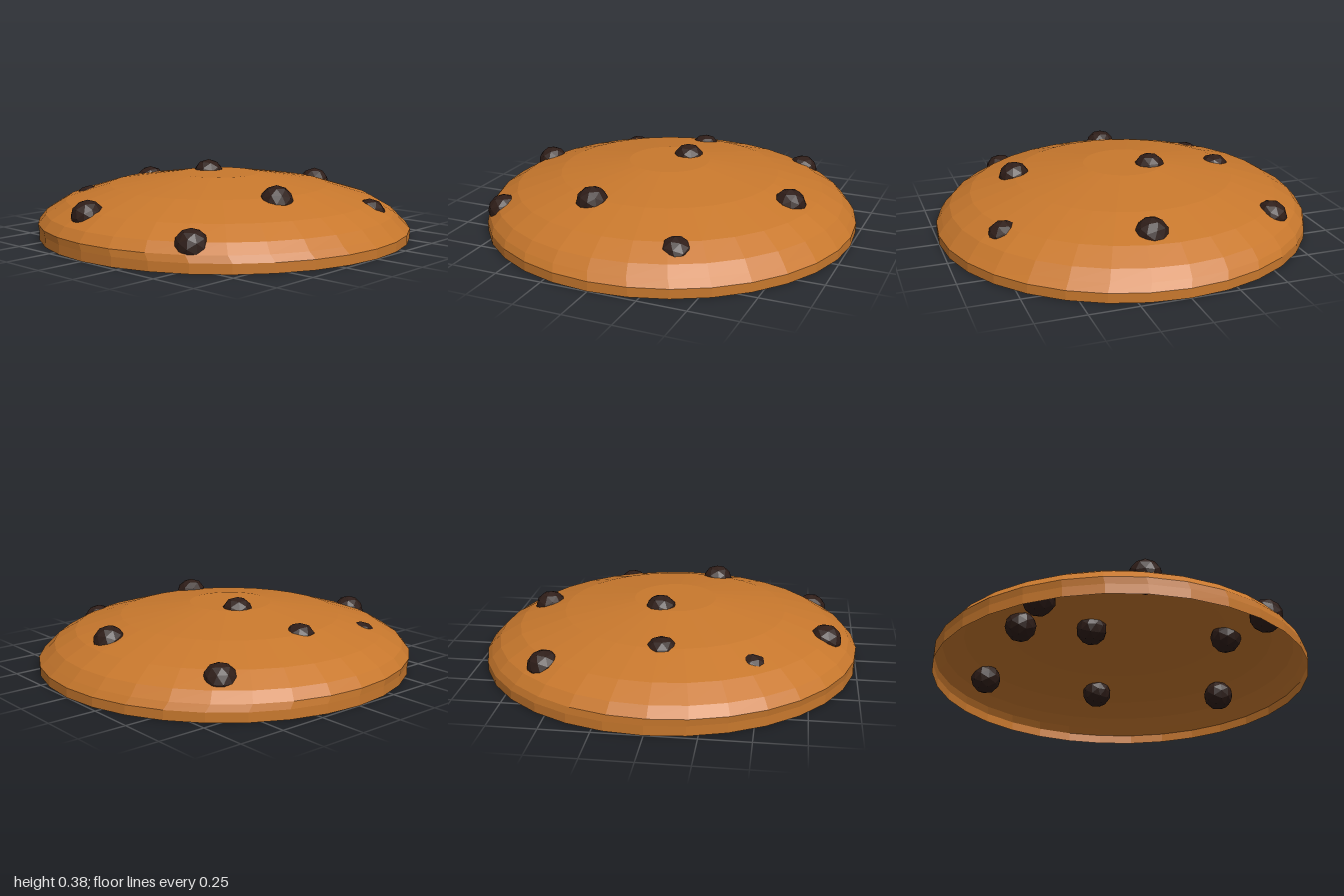
import * as THREE from 'three';

const SEGMENTS = 32;

// Open shell from stacked rings [radius, height, sideways shift], closed by a flat top
function shellGeometry(rings) {
  const positions = [];
  const index = [];
  for (const [r, y, shift] of rings) {
    for (let i = 0; i < SEGMENTS; i++) {
      const a = (i / SEGMENTS) * Math.PI * 2;
      positions.push(r * Math.sin(a) + shift, y, r * Math.cos(a) + shift);
    }
  }
  for (let j = 0; j < rings.length - 1; j++) {
    for (let i = 0; i < SEGMENTS; i++) {
      const a = j * SEGMENTS + i;
      const b = j * SEGMENTS + ((i + 1) % SEGMENTS);
      index.push(a, b, b + SEGMENTS, a, b + SEGMENTS, a + SEGMENTS);
    }
  }
  const [, topY, topShift] = rings[rings.length - 1];
  const centre = positions.length / 3;
  positions.push(topShift, topY, topShift);
  const first = (rings.length - 1) * SEGMENTS;
  for (let i = 0; i < SEGMENTS; i++) {
    index.push(first + i, first + ((i + 1) % SEGMENTS), centre);
  }
  const geometry = new THREE.BufferGeometry();
  geometry.setAttribute('position', new THREE.Float32BufferAttribute(positions, 3));
  geometry.setIndex(index);
  geometry.computeVertexNormals();
  return geometry;
}

export function createModel() {
  const model = new THREE.Group();
  model.name = 'cookie';

  // Hollow domed biscuit, slightly off-centre towards the top
  const dough = new THREE.Mesh(
    shellGeometry([
      [1, 0, 0],
      [1, 0.05, 0],
      [0.985, 0.085, -0.015],
      [0.94, 0.135, -0.018],
      [0.83, 0.2, -0.02],
      [0.59, 0.273, -0.023],
      [0.218, 0.33, -0.025],
    ]),
    new THREE.MeshStandardMaterial({ color: 0xc8782d, flatShading: true, side: THREE.DoubleSide })
  );
  dough.name = 'dough';
  model.add(dough);

  // Chocolate chips sunk into the shell
  const chipGeometry = new THREE.IcosahedronGeometry(0.085, 1);
  const chipMaterial = new THREE.MeshStandardMaterial({ color: 0x2e1d18, flatShading: true });
  const chips = [
    [0.035, 0.3, -0.155],
    [-0.205, 0.25, 0.54],
    [0.33, 0.14, 0.725],
    [-0.76, 0.11, 0.5],
    [-0.83, 0.175, -0.155],
    [0.69, 0.21, 0.08],
    [0.555, 0.155, -0.63],
    [-0.025, 0.23, -0.565],
    [-0.47, 0.165, -0.575],
  ];
  chips.forEach(([x, y, z], i) => {
    const chip = new THREE.Mesh(chipGeometry, chipMaterial);
    chip.name = `chocolateChip${i + 1}`;
    chip.position.set(x, y, z);
    chip.rotation.y = i * 0.7;
    model.add(chip);
  });

  return model;
}
